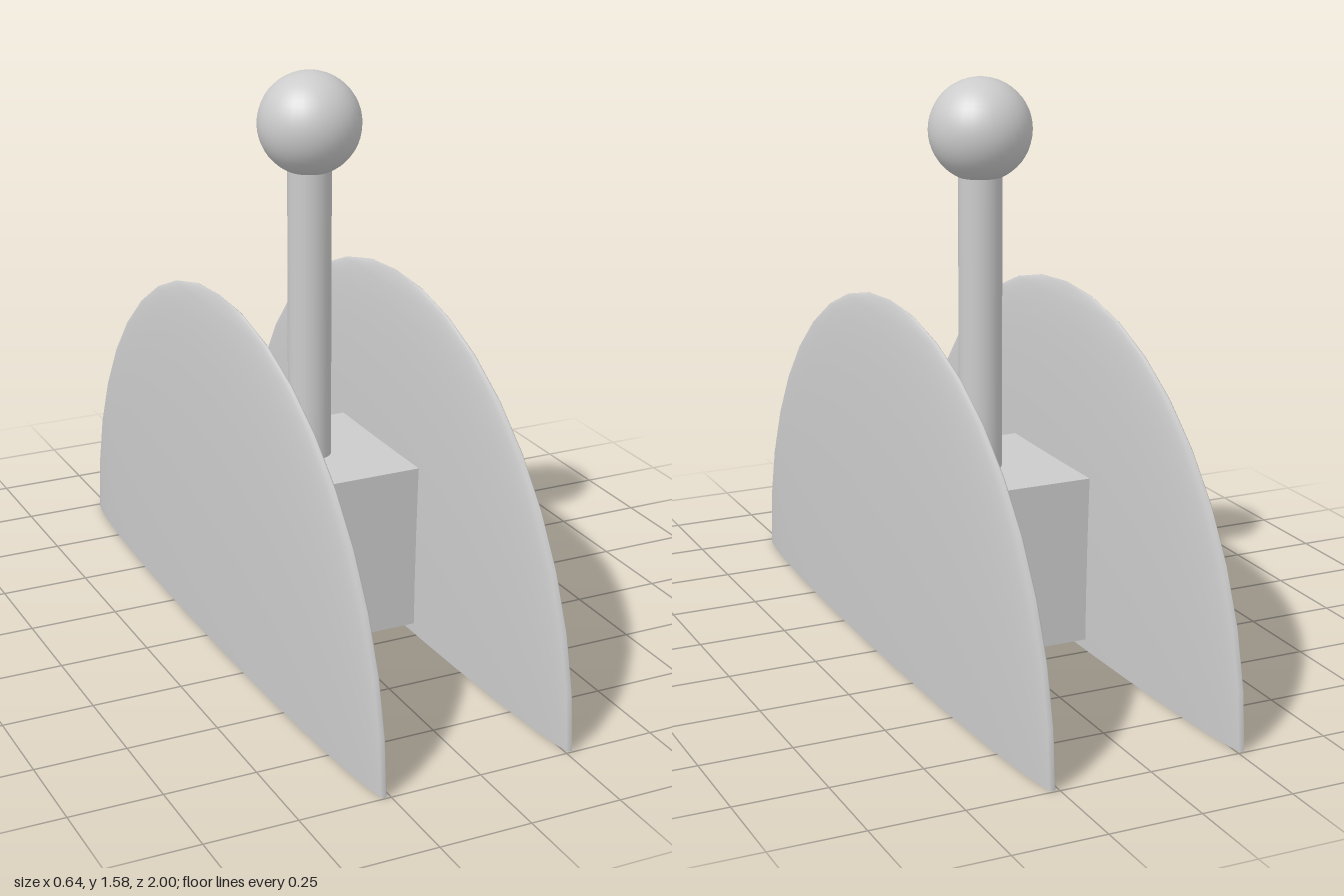
import * as THREE from 'three';

export function createModel() {
  const model = new THREE.Group();
  const grey = new THREE.MeshStandardMaterial({ color: 0xcccccc });
  const shellGrey = new THREE.MeshStandardMaterial({ color: 0xcccccc, side: THREE.DoubleSide });

  const add = (name, geometry, x, y, material = grey) => {
    const mesh = new THREE.Mesh(geometry, material);
    mesh.name = name;
    mesh.position.set(x, y, 0);
    model.add(mesh);
  };

  // Central cube joining the two side shells
  add('body', new THREE.BoxGeometry(0.47, 0.47, 0.47), 0, 0.265);

  // Post and ball head
  add('neck', new THREE.CylinderGeometry(0.06, 0.06, 0.9, 32), 0, 0.87);
  add('head', new THREE.SphereGeometry(0.141, 32, 24), 0, 1.443);

  // Thin half-ellipsoid side shells, open underneath
  const shell = new THREE.SphereGeometry(1, 40, 10, 0, Math.PI * 2, 0, Math.PI / 2);
  shell.scale(0.053, 1, 1);
  for (const side of [-1, 1]) {
    add(side > 0 ? 'leftShell' : 'rightShell', shell, side * 0.265, 0, shellGrey);
  }

  return model;
}
